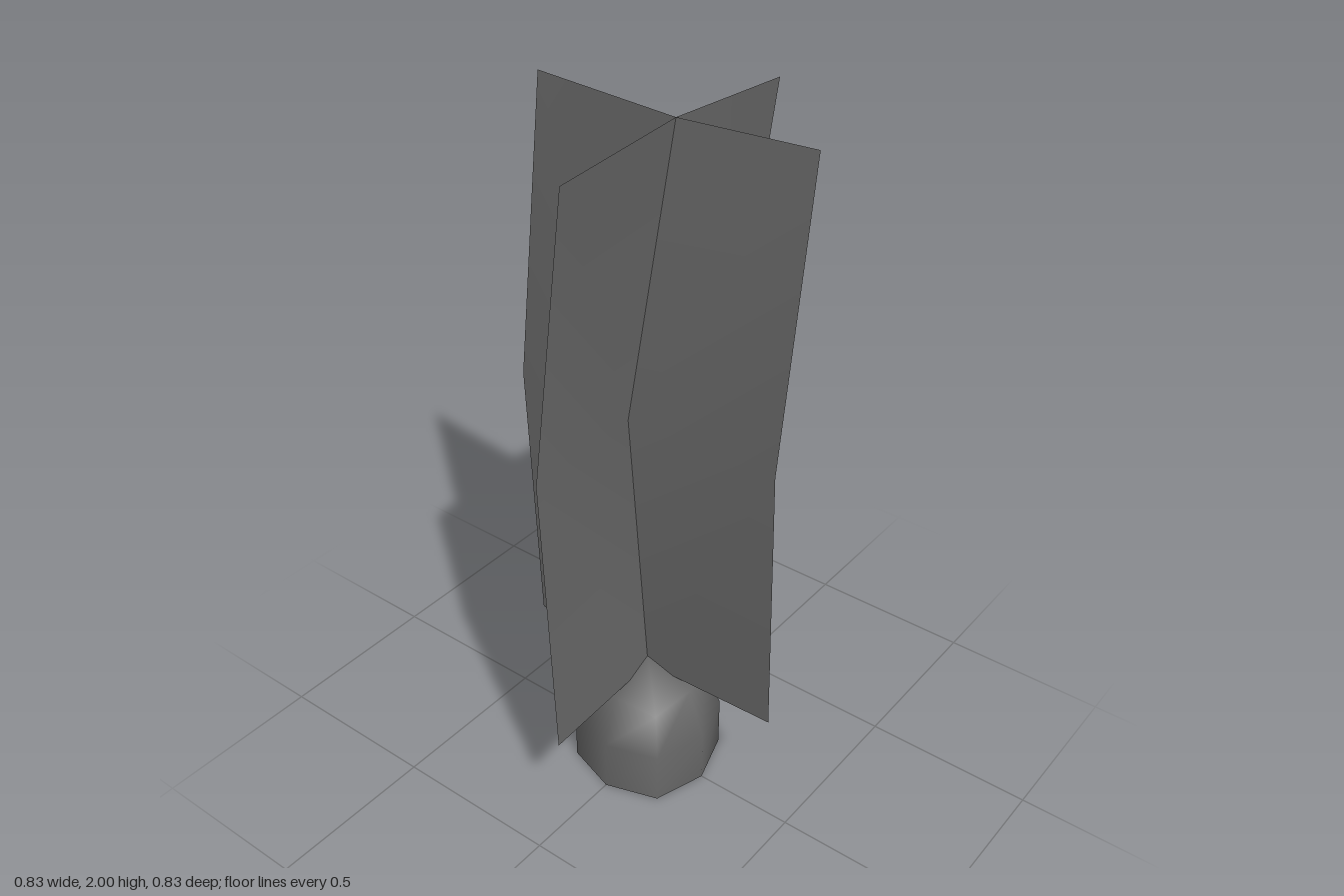
import * as THREE from 'three';

const grey = new THREE.MeshStandardMaterial({ color: 0x666666, side: THREE.DoubleSide });
grey.name = 'dark grey';

function mesh(name, points, faces) {
  const geometry = new THREE.BufferGeometry();
  geometry.setAttribute('position', new THREE.Float32BufferAttribute(points.flat(), 3));
  geometry.setIndex(faces.flat());
  geometry.computeVertexNormals();
  const part = new THREE.Mesh(geometry, grey);
  part.name = name;
  return part;
}

// Hollow eight-sided base closed by a domed top, open underneath
function createBase() {
  // [height, radius on the axes, x and z of the diagonal corners, corner drop]
  const rings = [[0, 0.202, 0.153, 0], [0.16, 0.202, 0.153, 0], [0.312, 0.153, 0.12, 0.035]];
  const points = [], faces = [];
  for (const [y, axis, corner, drop] of rings) {
    for (let i = 0; i < 8; i++) {
      const a = i * Math.PI / 4;
      const r = i % 2 ? corner * Math.SQRT2 : axis;
      points.push([r * Math.sin(a), i % 2 ? y - drop : y, r * Math.cos(a)]);
    }
  }
  points.push([0, 0.365, 0]);
  for (let i = 0; i < 8; i++) {
    const j = (i + 1) % 8;
    for (let k = 0; k < 2; k++) {
      const a = k * 8 + i, b = k * 8 + j;
      faces.push([a, b, b + 8], [a, b + 8, a + 8]);
    }
    faces.push([16 + i, 16 + j, 24]);
  }
  return mesh('base', points, faces);
}

// One bent sheet running from the shared spine to its outer edge
function createBlade(name, side, alongX) {
  // [height, spine offset, outer edge offset]
  const rows = [[0.333, 0, 0.013], [1.18, -0.037, -0.023], [2, 0.046, 0.087]];
  const points = [], faces = [];
  for (const [y, spine, edge] of rows) {
    points.push([spine, y, spine]);
    points.push(alongX ? [side * 0.415, y, edge] : [edge, y, side * 0.415]);
  }
  for (let k = 0; k < 4; k += 2) faces.push([k, k + 1, k + 3], [k, k + 3, k + 2]);
  return mesh(name, points, faces);
}

export function createModel() {
  const model = new THREE.Group();
  model.name = 'finnedPost';
  model.add(
    createBase(),
    createBlade('leftBlade', 1, true),
    createBlade('rightBlade', -1, true),
    createBlade('frontBlade', 1, false),
    createBlade('backBlade', -1, false)
  );
  return model;
}
